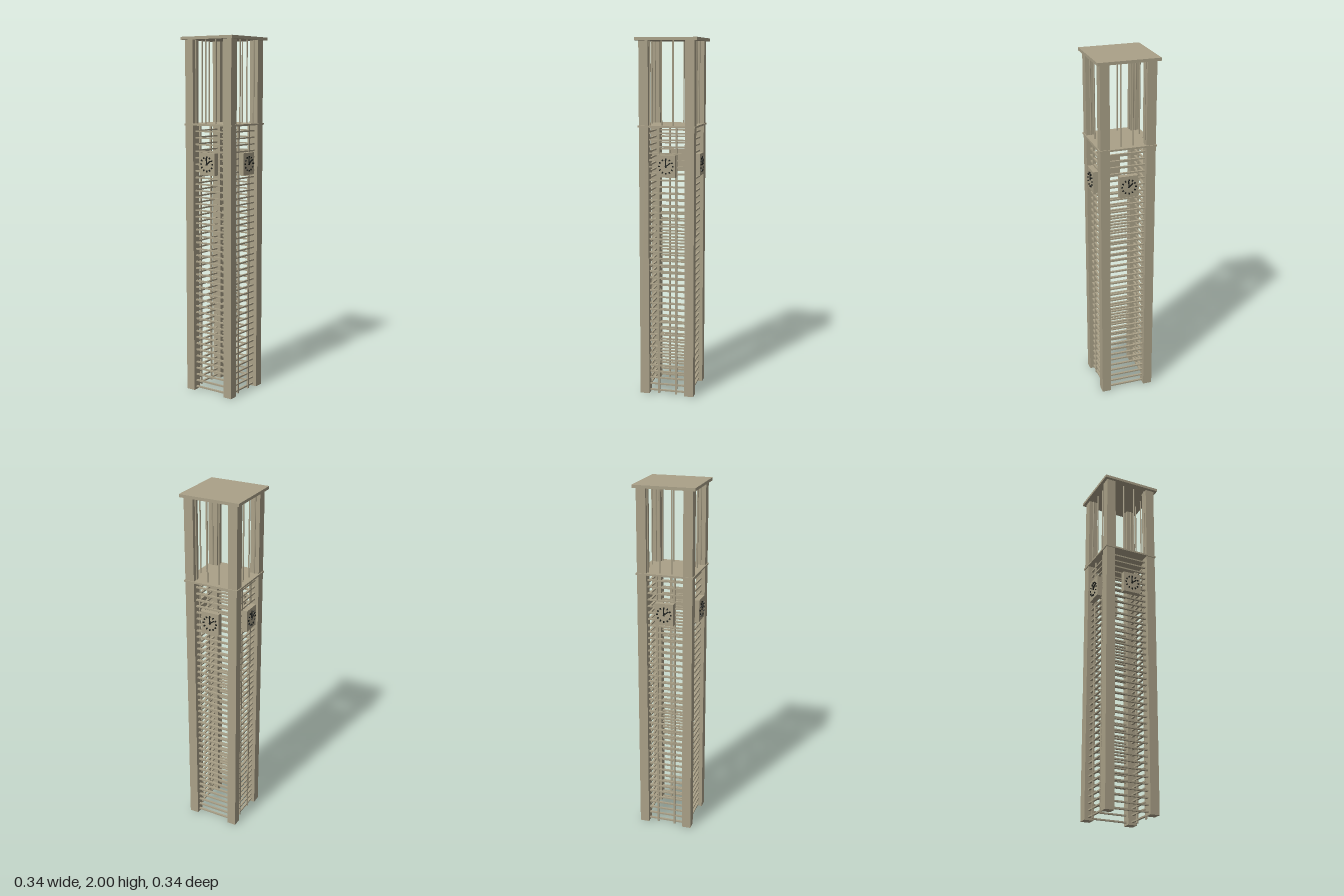
import * as THREE from 'three';

const POST = 0.052, EDGE = 0.154, MID = EDGE - POST / 2, INNER = EDGE - POST;
const DECK_Y = 1.525, ROOF_Y = 1.985;

export function createModel() {
  const stone = new THREE.MeshStandardMaterial({ color: 0xaaa188 });
  stone.name = 'stone';
  const black = new THREE.MeshStandardMaterial({ color: 0x1c1f1c });
  black.name = 'clock black';

  const tower = new THREE.Group();
  tower.name = 'clockTower';

  function box(parent, name, w, h, d, x, y, z, material = stone) {
    const mesh = new THREE.Mesh(new THREE.BoxGeometry(w, h, d), material);
    mesh.name = name;
    mesh.position.set(x, y, z);
    parent.add(mesh);
    return mesh;
  }

  // Corner posts, belfry floor and flat roof
  for (const x of [-MID, MID])
    for (const z of [-MID, MID])
      box(tower, 'cornerPost', POST, ROOF_Y, POST, x, ROOF_Y / 2, z);
  box(tower, 'belfryFloor', 0.318, 0.01, 0.318, 0, DECK_Y, 0);
  box(tower, 'roof', 0.342, 0.016, 0.342, 0, 1.992, 0);

  // Clock: plate, twelve hour marks, two hands
  function addClock(parent) {
    const clock = new THREE.Group();
    clock.name = 'clock';
    clock.position.set(0, 1.312, 0);
    box(clock, 'clockPlate', 0.104, 0.122, 0.03, 0, 0, 0.15);
    const pointer = (name, angle, from, to, width) => {
      const r = (from + to) / 2;
      box(clock, name, width, to - from, 0.005,
        Math.sin(angle) * r, Math.cos(angle) * r, 0.1672, black).rotation.z = -angle;
    };
    for (let i = 0; i < 12; i++)
      pointer('hourMark', i * Math.PI / 6, 0.034, 0.043, 0.007);
    pointer('minuteHand', -0.08, -0.006, 0.036, 0.005);
    pointer('hourHand', 0.9, -0.006, 0.03, 0.006);
    parent.add(clock);
  }

  // Each of the four sides, turned about the vertical axis
  for (let s = 0; s < 4; s++) {
    const side = new THREE.Group();
    side.name = ['frontSide', 'leftSide', 'backSide', 'rightSide'][s];
    side.rotation.y = s * Math.PI / 2;

    // Horizontal slats
    for (let i = 0; i <= 40; i++)
      box(side, 'slat', INNER * 2, 0.008, 0.012, 0, 0.0165 + i * 0.0368, MID);

    // Upright bars on the front and back only
    if (s % 2 === 0)
      for (const x of [-0.05, 0.05])
        box(side, 'uprightBar', 0.01, DECK_Y, 0.01, x, DECK_Y / 2, MID + 0.002);

    // Slender belfry rods
    for (let i = 0; i < 4; i++) {
      const rod = new THREE.Mesh(new THREE.CylinderGeometry(0.004, 0.004, ROOF_Y - DECK_Y, 10), stone);
      rod.name = 'belfryRod';
      rod.position.set(-0.1 + i * 0.2 / 3, (ROOF_Y + DECK_Y) / 2, MID);
      side.add(rod);
    }

    addClock(side);
    tower.add(side);
  }
  return tower;
}
